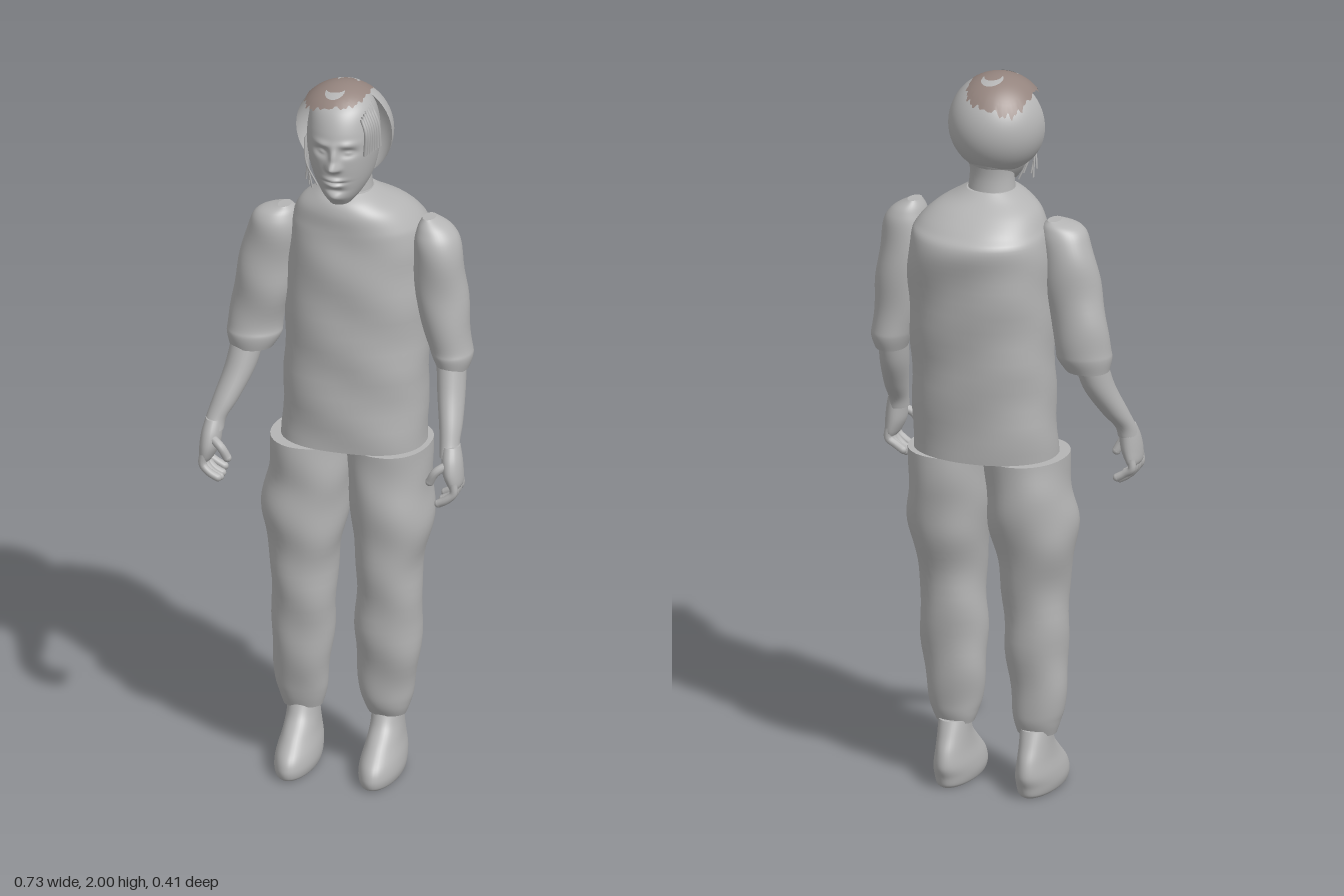
import * as THREE from 'three';

const cloth = new THREE.MeshStandardMaterial({ color: 0xb4b4b4, side: THREE.DoubleSide });
cloth.name = 'plain grey';
const brown = new THREE.MeshStandardMaterial({ color: 0x94847e, side: THREE.DoubleSide });
brown.name = 'hair brown';

function mesh(name, geometry, material = cloth) {
  const m = new THREE.Mesh(geometry, material);
  m.name = name;
  return m;
}

const spline = (a, b, c, d, t) =>
  0.5 * (2 * b + (c - a) * t + (2 * a - 5 * b + 4 * c - d) * t * t + (3 * b - a - 3 * c + d) * t * t * t);

// Smooth closed body through level sections, listed from top to bottom:
// [y, xMin, xMax, zMin, zMax]. shape(p) may then move each point.
function loft(sections, { segs = 40, steps = 6, power = 2, shape } = {}) {
  const rows = [], n = sections.length;
  const at = i => sections[Math.min(n - 1, Math.max(0, i))];
  for (let i = 0; i < n - 1; i++) {
    for (let s = 0; s < steps; s++) {
      rows.push(at(i).map((v, k) => spline(at(i - 1)[k], v, at(i + 1)[k], at(i + 2)[k], s / steps)));
    }
  }
  rows.push(at(n - 1));
  const pos = [], idx = [], p = new THREE.Vector3();
  const bend = v => Math.sign(v) * Math.abs(v) ** (2 / power);
  for (const [y, x0, x1, z0, z1] of rows) {
    for (let j = 0; j < segs; j++) {
      const a = j / segs * Math.PI * 2;
      p.set((x0 + x1) / 2 + (x1 - x0) / 2 * bend(Math.sin(a)), y, (z0 + z1) / 2 + (z1 - z0) / 2 * bend(Math.cos(a)));
      if (shape) shape(p);
      pos.push(p.x, p.y, p.z);
    }
  }
  for (let r = 0; r < rows.length - 1; r++) {
    for (let j = 0; j < segs; j++) {
      const a = r * segs + j, c = r * segs + (j + 1) % segs;
      idx.push(a, a + segs, c + segs, a, c + segs, c);
    }
  }
  // End caps with their own corners, so the rims stay crisp
  for (const [row, top] of [[0, true], [rows.length - 1, false]]) {
    const [y, x0, x1, z0, z1] = rows[row], centre = pos.length / 3;
    pos.push((x0 + x1) / 2, y, (z0 + z1) / 2);
    for (let j = 0; j < segs; j++) {
      const k = (row * segs + j) * 3;
      pos.push(pos[k], pos[k + 1], pos[k + 2]);
    }
    for (let j = 0; j < segs; j++) {
      const a = centre + 1 + j, b = centre + 1 + (j + 1) % segs;
      idx.push(centre, top ? a : b, top ? b : a);
    }
  }
  const g = new THREE.BufferGeometry();
  g.setAttribute('position', new THREE.Float32BufferAttribute(pos, 3));
  g.setIndex(idx);
  g.computeVertexNormals();
  return g;
}

// Gentle folds in fabric
const folds = p => {
  p.z += 0.003 * Math.sin(p.y * 31 + p.x * 17);
  p.x += 0.002 * Math.sin(p.y * 37 + p.z * 20);
};

// Facial relief: [x, y, width, height, depth] bumps on the front of the head
const relief = [
  [0, 1.835, 0.011, 0.024, 0.016], [0, 1.808, 0.014, 0.013, 0.03], [0.013, 1.802, 0.008, 0.008, 0.008],
  [-0.013, 1.802, 0.008, 0.008, 0.008], [0.036, 1.845, 0.02, 0.012, -0.014], [-0.036, 1.845, 0.02, 0.012, -0.014],
  [0.036, 1.844, 0.011, 0.006, 0.008], [-0.036, 1.844, 0.011, 0.006, 0.008], [0.034, 1.869, 0.024, 0.009, 0.006],
  [-0.034, 1.869, 0.024, 0.009, 0.006], [0, 1.767, 0.024, 0.006, 0.011], [0, 1.759, 0.028, 0.003, -0.006],
  [0, 1.75, 0.02, 0.006, 0.01], [0, 1.733, 0.025, 0.007, -0.006], [0, 1.713, 0.022, 0.012, 0.009],
];
const face = p => {
  if (p.z < 0.07) return;
  const x = p.x - 0.01;
  for (const [fx, fy, w, h, d] of relief) p.z += d * Math.exp(-(((x - fx) / w) ** 2) - ((p.y - fy) / h) ** 2);
};

// Height of the scalp above a point
const scalp = (x, z) =>
  1.862 + 0.135 * Math.sqrt(Math.max(0.04, 1 - (x / 0.133) ** 2 - ((z - 0.04) / (z < 0.04 ? 0.14 : 0.135)) ** 2));

// Thin sheet laid over the scalp; at(u, v) returns [x, z]
function drape(at, nu, nv, lift) {
  const g = new THREE.PlaneGeometry(1, 1, nu, nv), p = g.attributes.position;
  for (let i = 0; i < p.count; i++) {
    const [x, z] = at(p.getX(i) + 0.5, 0.5 - p.getY(i));
    p.setXYZ(i, x, scalp(x, z) + lift, z);
  }
  g.computeVertexNormals();
  return g;
}

function tube(points, radius) {
  const curve = new THREE.CatmullRomCurve3(points.map(q => new THREE.Vector3(...q)));
  return new THREE.TubeGeometry(curve, 12, radius, 10);
}

// Round-tipped finger
function finger(points, radius) {
  const g = new THREE.Group();
  const tip = mesh('fingertip', new THREE.SphereGeometry(radius, 10, 8));
  tip.position.set(...points[points.length - 1]);
  g.add(mesh('fingerShaft', tube(points, radius)), tip);
  g.name = 'finger';
  return g;
}

function makeHand(s, wristX) {
  const hand = new THREE.Group(), X = d => wristX + s * d;
  const section = (y, a, b, z0, z1) => [y, Math.min(X(a), X(b)), Math.max(X(a), X(b)), z0, z1];
  hand.name = s > 0 ? 'leftHand' : 'rightHand';
  hand.add(mesh('palm', loft([
    section(1.02, -0.022, 0.024, 0.1, 0.16), section(0.985, -0.022, 0.032, 0.1, 0.18),
    section(0.95, -0.018, 0.036, 0.1, 0.19), section(0.92, -0.005, 0.036, 0.102, 0.188),
    section(0.905, 0.005, 0.028, 0.108, 0.18),
  ], { segs: 24 })));
  for (let i = 0; i < 4; i++) {
    const z = 0.113 + 0.022 * i, drop = [0.012, 0.002, 0, 0.006][i];
    hand.add(finger([[X(0.018), 0.93, z], [X(0.02), 0.9, z], [X(0), 0.873 + drop, z + 0.002], [X(-0.022), 0.86 + drop, z]], 0.011));
  }
  hand.add(finger([[X(0), 0.975, 0.165], [X(-0.03), 0.955, 0.178], [X(-0.047), 0.925, 0.175]], 0.012));
  return hand;
}

export function createModel() {
  const model = new THREE.Group();
  model.name = 'standingFigure';

  // Shirt
  model.add(mesh('shirtBody', loft([
    [1.69, -0.055, 0.075, -0.06, 0.08], [1.67, -0.085, 0.11, -0.085, 0.105], [1.64, -0.125, 0.16, -0.13, 0.118],
    [1.6, -0.15, 0.195, -0.175, 0.122], [1.56, -0.163, 0.21, -0.202, 0.125], [1.45, -0.17, 0.22, -0.19, 0.13],
    [1.2, -0.172, 0.216, -0.166, 0.13], [0.955, -0.178, 0.215, -0.148, 0.13],
  ], { segs: 64, power: 2.25, shape: folds })));

  // Sleeves and forearms
  const sleeves = {
    right: [[1.615, -0.185, -0.15, -0.01, 0.045], [1.595, -0.245, -0.135, -0.035, 0.07], [1.54, -0.272, -0.13, -0.05, 0.085],
      [1.4, -0.303, -0.145, -0.052, 0.085], [1.27, -0.322, -0.175, -0.05, 0.082], [1.235, -0.327, -0.18, -0.048, 0.086],
      [1.2, -0.32, -0.2, -0.035, 0.08]],
    left: [[1.625, 0.215, 0.25, -0.01, 0.045], [1.595, 0.2, 0.295, -0.035, 0.07], [1.54, 0.19, 0.32, -0.05, 0.085],
      [1.4, 0.195, 0.337, -0.052, 0.085], [1.27, 0.23, 0.347, -0.05, 0.082], [1.235, 0.24, 0.35, -0.048, 0.086],
      [1.2, 0.255, 0.34, -0.035, 0.08]],
  };
  const forearms = {
    right: [[1.24, -0.308, -0.22, -0.025, 0.07], [1.15, -0.322, -0.238, 0.0, 0.1], [1.07, -0.343, -0.272, 0.05, 0.135],
      [1.02, -0.355, -0.3, 0.09, 0.155], [0.99, -0.36, -0.305, 0.1, 0.17]],
    left: [[1.24, 0.255, 0.335, -0.025, 0.07], [1.15, 0.265, 0.34, 0.0, 0.1], [1.07, 0.282, 0.345, 0.05, 0.135],
      [1.02, 0.292, 0.345, 0.09, 0.155], [0.99, 0.295, 0.352, 0.1, 0.17]],
  };
  for (const side of ['right', 'left']) {
    model.add(mesh(side + 'Sleeve', loft(sleeves[side], { shape: folds })));
    model.add(mesh(side + 'Forearm', loft(forearms[side], { segs: 28 })));
  }
  model.add(makeHand(-1, -0.33), makeHand(1, 0.325));

  // Trousers
  const legs = {
    right: [[0.955, -0.205, 0.012, -0.14, 0.13], [0.85, -0.213, 0.008, -0.135, 0.132], [0.74, -0.23, 0.002, -0.12, 0.132],
      [0.6, -0.203, -0.022, -0.082, 0.12], [0.4, -0.2, -0.033, -0.062, 0.1], [0.25, -0.195, -0.05, -0.045, 0.078],
      [0.2, -0.185, -0.058, -0.04, 0.068], [0.165, -0.172, -0.066, -0.03, 0.055]],
    left: [[0.955, 0.004, 0.23, -0.14, 0.13], [0.85, 0.01, 0.228, -0.135, 0.132], [0.74, 0.018, 0.237, -0.12, 0.132],
      [0.6, 0.036, 0.21, -0.082, 0.12], [0.4, 0.03, 0.209, -0.062, 0.1], [0.25, 0.04, 0.188, -0.045, 0.078],
      [0.2, 0.05, 0.176, -0.04, 0.068], [0.17, 0.062, 0.166, -0.03, 0.055]],
  };
  for (const side of ['right', 'left']) {
    model.add(mesh(side + 'TrouserLeg', loft(legs[side], { power: 2.15, shape: folds })));
    // Shoe, from ankle to sole
    const c = side === 'right' ? -0.12 : 0.113;
    model.add(mesh(side + 'Shoe', loft([
      [0.18, c - 0.042, c + 0.042, -0.045, 0.055], [0.14, c - 0.043, c + 0.043, -0.064, 0.078],
      [0.1, c - 0.047, c + 0.047, -0.083, 0.125], [0.06, c - 0.055, c + 0.055, -0.09, 0.17],
      [0.03, c - 0.057, c + 0.057, -0.08, 0.184], [0.008, c - 0.052, c + 0.052, -0.074, 0.182],
      [0, c - 0.044, c + 0.044, -0.064, 0.172],
    ])));
  }

  // Head and neck
  model.add(mesh('neck', loft([
    [1.78, -0.055, 0.07, -0.06, 0.07], [1.72, -0.052, 0.068, -0.05, 0.068], [1.62, -0.065, 0.085, -0.06, 0.075],
  ])));
  model.add(mesh('head', loft([
    [1.99, -0.025, 0.03, 0.015, 0.065], [1.975, -0.055, 0.06, -0.02, 0.1], [1.945, -0.08, 0.085, -0.045, 0.138],
    [1.9, -0.09, 0.097, -0.065, 0.161], [1.85, -0.092, 0.1, -0.07, 0.17], [1.8, -0.086, 0.095, -0.07, 0.17],
    [1.75, -0.07, 0.083, -0.05, 0.163], [1.71, -0.045, 0.062, -0.01, 0.155], [1.683, -0.02, 0.038, 0.06, 0.135],
  ], { segs: 112, steps: 14, shape: face })));

  // Rounded shell covering the back of the head
  const shell = mesh('headShell', new THREE.SphereGeometry(1, 40, 32, Math.PI, Math.PI));
  shell.scale.set(0.133, 0.135, 0.14);
  shell.position.set(0.002, 1.862, 0.04);
  model.add(shell);

  // Crown hair with a ragged edge, and two bare crescents
  const ragged = a => 1 + 0.05 * Math.sin(a * 23) * Math.sin(a * 7 + 1);
  const soft = v => Math.sign(v) * Math.abs(v) ** 0.72;
  model.add(mesh('crownHair', drape((u, v) => {
    const a = u * Math.PI * 2, r = v * (v > 0.9 ? ragged(a) : 1);
    return [-0.014 + 0.085 * r * soft(Math.cos(a)), 0.027 + 0.106 * r * soft(Math.sin(a))];
  }, 120, 14, 0.002), brown));
  for (const [cx, cz, from, to] of [[0.006, 0.01, Math.PI * 0.85, Math.PI * 2.05], [-0.01, 0.075, 0.1, Math.PI * 0.95]]) {
    model.add(mesh('bareCrescent', drape((u, v) => {
      const a = from + (to - from) * u, r = 0.026 + (v - 0.5) * 0.02 * Math.sin(u * Math.PI);
      return [cx + r * Math.cos(a), cz + r * 1.1 * Math.sin(a)];
    }, 24, 3, 0.003)));
  }

  // Loose strands beside the face
  for (let i = 0; i < 7; i++) {
    const k = i / 6, z = 0.05 + 0.075 * k;
    model.add(mesh('sideStrand', tube([[0.075, 1.955 - 0.02 * k, z], [0.1 - 0.012 * k, 1.9, z + 0.006], [0.104 - 0.02 * k, 1.83, z]], 0.005)));
    model.add(mesh('sideStrand', tube([[-0.085, 1.86, z - 0.01], [-0.09 + 0.01 * k, 1.79, z - 0.005],
      [-0.072 - 0.02 * Math.sin(i * 5), 1.715 + 0.012 * Math.cos(i * 3), z - 0.015]], 0.0025)));
  }
  return model;
}
